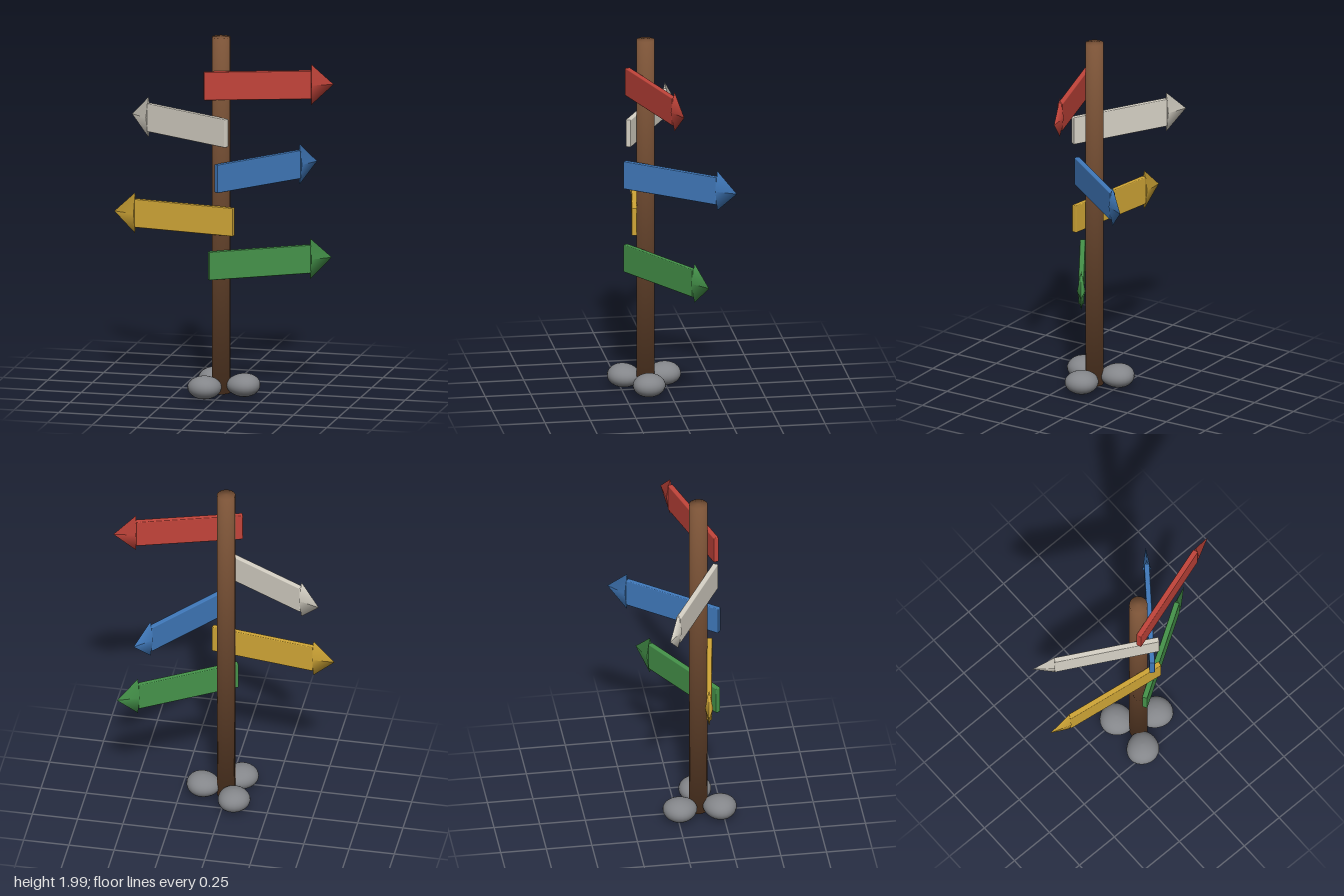
import * as THREE from 'three';
import { RoundedBoxGeometry } from 'three/addons/geometries/RoundedBoxGeometry.js';

const POST_Z = 0.12;

function material(name, color) {
  const m = new THREE.MeshStandardMaterial({ color });
  m.name = name;
  return m;
}

function mesh(name, geometry, mat) {
  const m = new THREE.Mesh(geometry, mat);
  m.name = name;
  return m;
}

// Round post whose side normals lean out softly toward both ends
function makePost(mat) {
  const bottom = 0.02, top = 2;
  const geo = new THREE.CylinderGeometry(0.05, 0.05, top - bottom, 20);
  const pos = geo.attributes.position, n = new THREE.Vector3();
  for (let i = 0; i < pos.count; i++) {
    const radial = Math.hypot(pos.getX(i), pos.getZ(i));
    n.set(pos.getX(i), Math.sign(pos.getY(i)) * 0.045, pos.getZ(i)).normalize();
    if (radial > 0.01) geo.attributes.normal.setXYZ(i, n.x, n.y, n.z);
  }
  const post = mesh('post', geo, mat);
  post.position.set(0, (top + bottom) / 2, POST_Z);
  return post;
}

// Plank with a flattened four-sided arrowhead, running from tail to tip in plan
function makeSign(name, mat, y, tail, tip) {
  const sign = new THREE.Group();
  sign.name = name;
  const dx = tip[0] - tail[0], dz = tip[1] - tail[1];
  const length = Math.hypot(dx, dz), head = 0.122, plank = length - head;

  const board = mesh('board', new RoundedBoxGeometry(plank, 0.157, 0.03, 1, 0.005), mat);
  board.position.x = plank / 2;

  const cone = new THREE.ConeGeometry(0.113, head, 4);
  cone.scale(1, 1, 0.2).rotateZ(-Math.PI / 2);
  const arrow = mesh('arrowhead', cone, mat);
  arrow.position.x = plank + head / 2;

  sign.add(board, arrow);
  sign.position.set(tail[0], y, tail[1]);
  sign.rotation.y = Math.atan2(-dz, dx);
  return sign;
}

// Slightly lopsided pebble
function makeStoneGeometry() {
  const geo = new THREE.SphereGeometry(1, 24, 16);
  const pos = geo.attributes.position;
  for (let i = 0; i < pos.count; i++) {
    const x = pos.getX(i), y = pos.getY(i), z = pos.getZ(i);
    const k = 1 + 0.04 * x * z + 0.03 * x * y;
    pos.setXYZ(i, x * k * 0.094, y * k * (1 + 0.08 * x) * 0.063, z * k * (1 + 0.1 * x) * 0.089);
  }
  geo.computeVertexNormals();
  return geo;
}

export function createModel() {
  const model = new THREE.Group();
  model.name = 'signpost';

  const wood = material('wood brown', 0x7a5236);
  const stone = material('stone grey', 0x84868a);

  model.add(makePost(wood));

  // Name, colour, height, tail [x, z], tip [x, z]
  const signs = [
    ['redSign', 0xc2443a, 1.742, [-0.075, 0.208], [0.6, 0.0]],
    ['whiteSign', 0xd8d3c7, 1.488, [0.058, 0.224], [-0.557, -0.115]],
    ['blueSign', 0x4079bb, 1.235, [0.0, 0.235], [0.428, -0.316]],
    ['yellowSign', 0xd0a636, 0.99, [0.09, 0.195], [-0.605, 0.09]],
    ['greenSign', 0x45934a, 0.745, [-0.045, 0.224], [0.553, -0.143]],
  ];
  for (const [name, color, y, tail, tip] of signs) {
    model.add(makeSign(name, material(name.replace('Sign', ' paint'), color), y, tail, tip));
  }

  // Three stones spaced evenly around the foot of the post
  const stoneGeo = makeStoneGeometry();
  for (let i = 0; i < 3; i++) {
    const a = (i * Math.PI * 2) / 3;
    const s = mesh('stone' + (i + 1), stoneGeo, stone);
    s.position.set(0.124 * Math.cos(a), 0.069, POST_Z - 0.124 * Math.sin(a));
    s.rotation.y = a;
    model.add(s);
  }

  return model;
}
